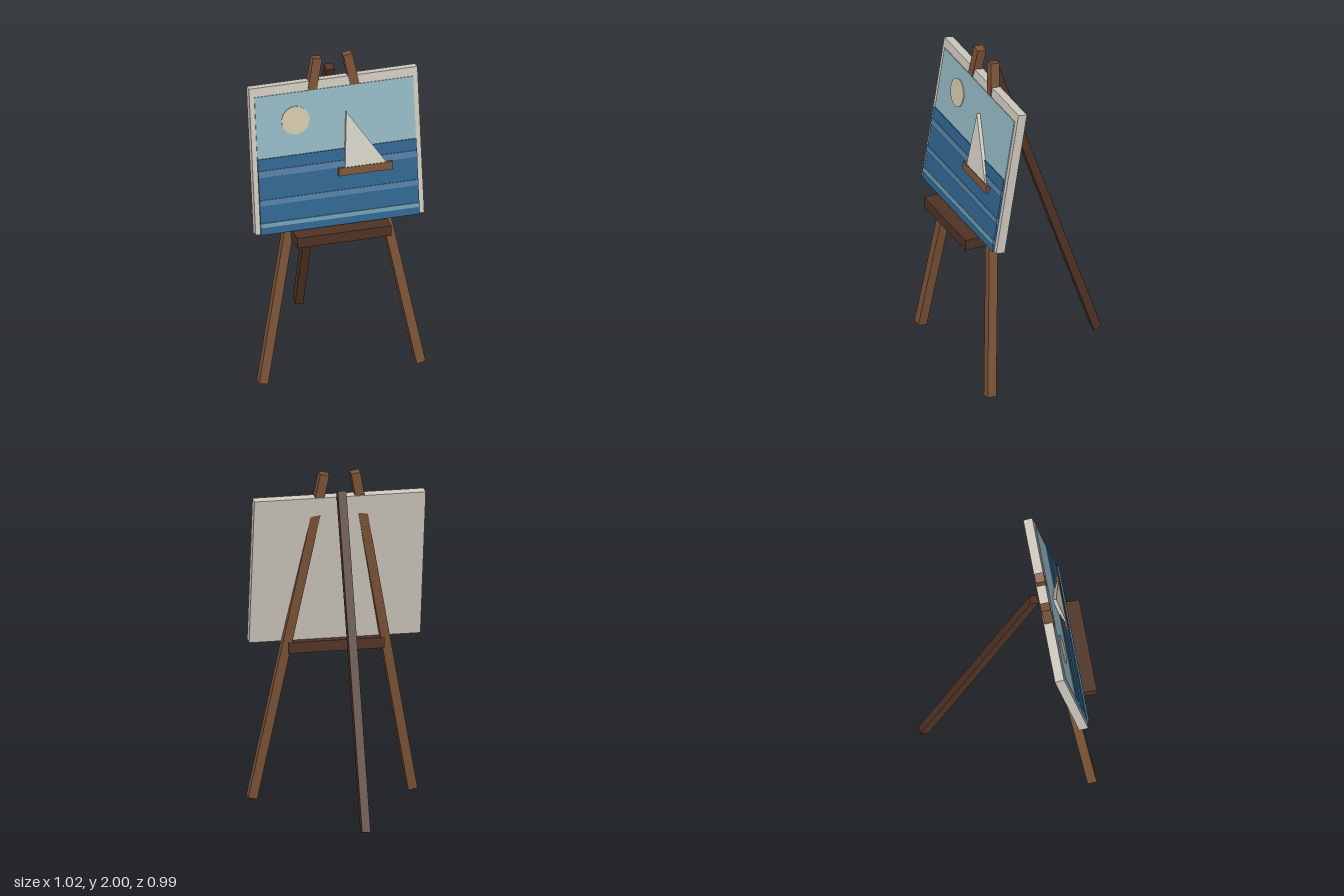
import * as THREE from 'three';

const mat = (color) => new THREE.MeshStandardMaterial({ color, flatShading: true });
const wood = mat(0x7a5236), darkWood = mat(0x4f3224), canvasCloth = mat(0xcdc7bc);
const skyBlue = mat(0x91b5c0), seaBlue = mat(0x2f648d), waveBlue = mat(0x527fa3);
const foamBlue = mat(0x6c9db4), sunCream = mat(0xcfc5a8), sailWhite = mat(0xd3cfc4);

function add(parent, name, geometry, material, x = 0, y = 0, z = 0) {
  const mesh = new THREE.Mesh(geometry, material);
  mesh.name = name;
  mesh.position.set(x, y, z);
  parent.add(mesh);
  return mesh;
}

// Square bar running between two points
function bar(parent, name, from, to, size, material) {
  const a = new THREE.Vector3(...from), b = new THREE.Vector3(...to);
  const mid = a.clone().add(b).multiplyScalar(0.5);
  const mesh = add(parent, name, new THREE.BoxGeometry(size, a.distanceTo(b), size), material, mid.x, mid.y, mid.z);
  mesh.quaternion.setFromUnitVectors(new THREE.Vector3(0, 1, 0), b.sub(a).normalize());
}

export function createModel() {
  const easel = new THREE.Group();
  easel.name = 'easel';

  // Splayed front legs, rear prop and tray
  for (const [side, name] of [[1, 'leftFrontLeg'], [-1, 'rightFrontLeg']])
    bar(easel, name, [side * 0.477, 0.008, 0.432], [side * 0.092, 1.992, 0.23], 0.055, wood);
  bar(easel, 'backLeg', [0, 0.009, -0.471], [0, 1.891, 0.181], 0.05, darkWood);
  add(easel, 'tray', new THREE.BoxGeometry(0.57, 0.065, 0.2), darkWood, 0, 0.93, 0.4);

  // Leaning picture; its children lie in the plane of the canvas
  const tilt = 0.16, front = 0.0275;
  const picture = new THREE.Group();
  picture.name = 'picture';
  picture.position.set(0, 1.41, 0.309);
  picture.rotation.x = -tilt;
  easel.add(picture);
  add(picture, 'canvas', new THREE.BoxGeometry(1.02, 0.9, 0.055), canvasCloth);

  // Flat raised slab standing on the canvas, from bottom to top
  const slab = (name, x0, x1, bottom, top, rise, material) =>
    add(picture, name, new THREE.BoxGeometry(x1 - x0, top - bottom, rise + 0.005), material,
      (x0 + x1) / 2, (bottom + top) / 2, front + (rise - 0.005) / 2);

  slab('sky', -0.48, 0.48, 0.0, 0.395, 0.005, skyBlue);
  slab('sea', -0.48, 0.48, -0.452, 0.013, 0.011, seaBlue);
  slab('farWave', -0.48, 0.48, -0.098, -0.058, 0.016, waveBlue);
  slab('middleWave', -0.48, 0.48, -0.272, -0.238, 0.016, waveBlue);
  slab('nearWave', -0.48, 0.48, -0.406, -0.38, 0.018, foamBlue);

  // Sun disc
  const disc = new THREE.CylinderGeometry(0.085, 0.085, 0.012, 32).rotateX(Math.PI / 2);
  add(picture, 'sun', disc, sunCream, -0.24, 0.225, front + 0.004);

  // Sailing boat
  slab('hull', 0, 0.325, -0.148, -0.1, 0.03, darkWood).material = wood;
  const sail = new THREE.Shape([[0.04, -0.1], [0.29, -0.1], [0.063, 0.241]].map((p) => new THREE.Vector2(...p)));
  add(picture, 'sail', new THREE.ExtrudeGeometry(sail, { depth: 0.026, bevelEnabled: false }), sailWhite, 0, 0, front);

  return easel;
}
